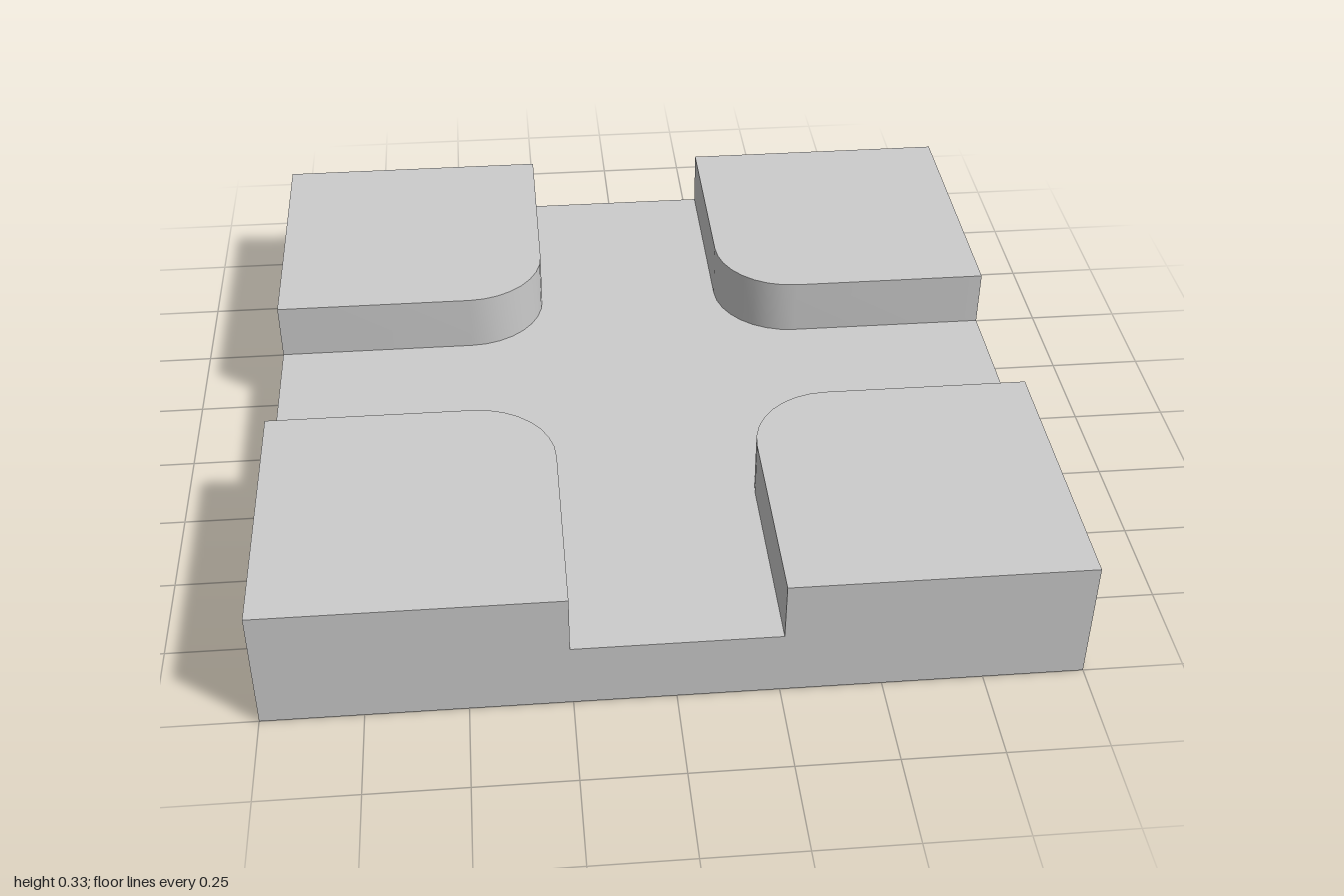
import * as THREE from 'three';
import { toCreasedNormals } from 'three/addons/utils/BufferGeometryUtils.js';

const HALF = 1;        // half width of the tile
const FLOOR = 0.175;   // height of the channel floor
const TOP = 0.33;      // height of the raised corners
const GAP = 0.255;     // half width of the channels
const R = 0.21;        // radius of the rounded inner corner

export function createModel() {
  const group = new THREE.Group();
  const material = new THREE.MeshStandardMaterial({ color: 0xcccccc });

  // Square slab carrying the crossing channels
  const base = new THREE.Mesh(new THREE.BoxGeometry(2 * HALF, FLOOR, 2 * HALF), material);
  base.name = 'baseSlab';
  base.position.y = FLOOR / 2;
  group.add(base);

  // Raised corner block, rounded towards the middle of the tile
  const shape = new THREE.Shape();
  shape.moveTo(HALF, GAP);
  shape.lineTo(HALF, HALF);
  shape.lineTo(GAP, HALF);
  shape.lineTo(GAP, GAP + R);
  shape.absarc(GAP + R, GAP + R, R, Math.PI, 1.5 * Math.PI, false);
  shape.closePath();
  const extruded = new THREE.ExtrudeGeometry(shape, {
    depth: TOP - FLOOR, bevelEnabled: false, curveSegments: 4,
  });
  extruded.rotateX(-Math.PI / 2);
  const blockGeometry = toCreasedNormals(extruded, Math.PI / 6);

  // One block per corner, a quarter turn apart
  ['backLeft', 'backRight', 'frontRight', 'frontLeft'].forEach((corner, i) => {
    const block = new THREE.Mesh(blockGeometry, material);
    block.name = corner + 'Block';
    block.position.y = FLOOR;
    block.rotation.y = i * Math.PI / 2;
    group.add(block);
  });

  return group;
}
